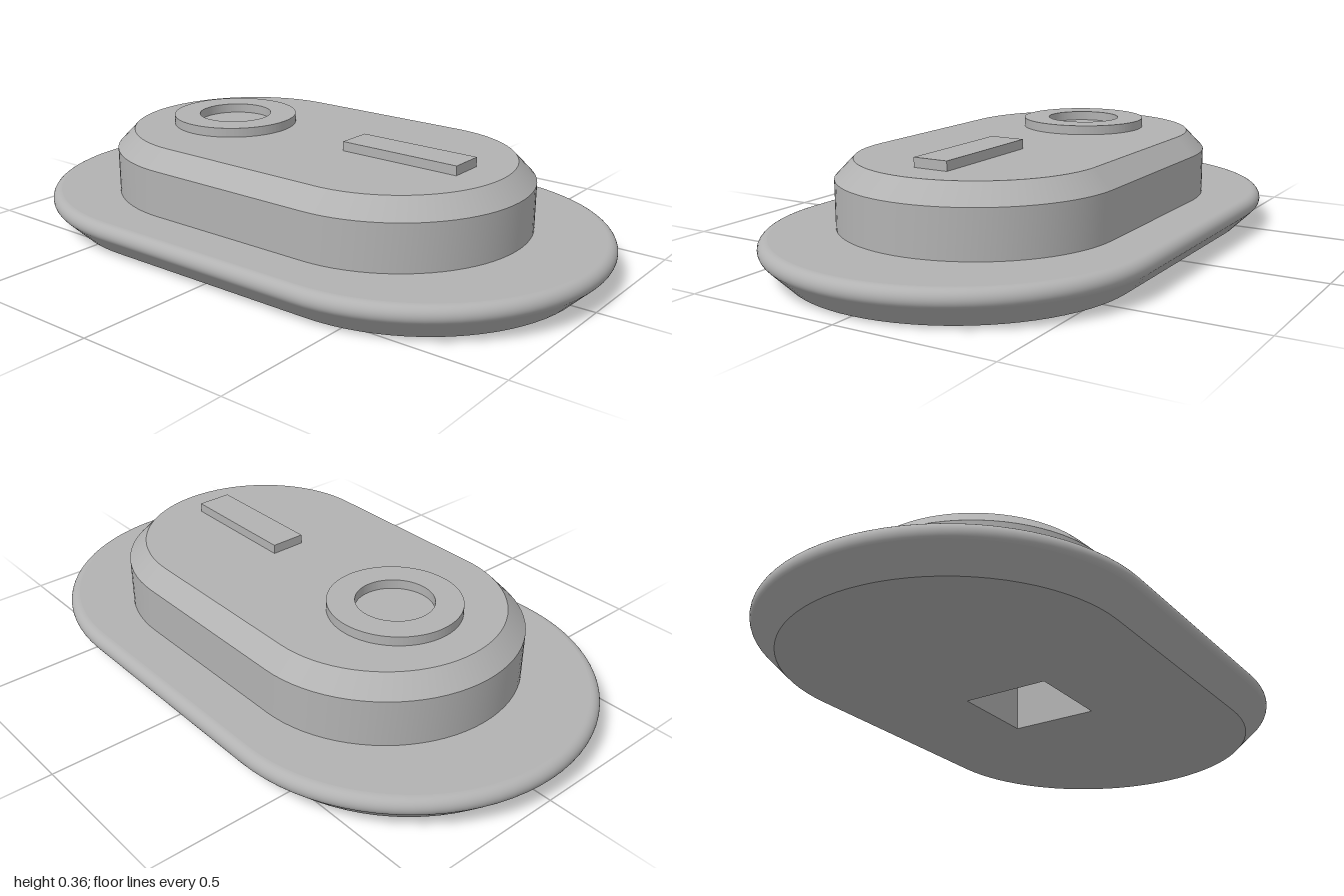
import * as THREE from 'three';

const grey = new THREE.MeshStandardMaterial({ color: 0xb2b2b2 });
grey.name = 'plain grey';

const ARC = 40; // segments per rounded end

// Outline of a stadium: straight half length h, end radius r (x, z pairs)
function stadium(h, r) {
  const pts = [];
  for (const side of [1, -1]) {
    for (let i = 0; i <= ARC; i++) {
      const a = -Math.PI / 2 + (Math.PI * i) / ARC;
      pts.push(new THREE.Vector2(side * (h + r * Math.cos(a)), side * r * Math.sin(a)));
    }
  }
  return pts;
}

// Smooth wall through a profile of [radius, y], from bottom to top
function wall(h, profile) {
  const pos = [], index = [], n = 2 * (ARC + 1);
  for (const [r, y] of profile) for (const p of stadium(h, r)) pos.push(p.x, y, p.y);
  for (let j = 0; j < profile.length - 1; j++) {
    for (let i = 0; i < n; i++) {
      const a = j * n + i, b = j * n + ((i + 1) % n), c = a + n, d = b + n;
      index.push(a, c, b, b, c, d);
    }
  }
  const g = new THREE.BufferGeometry();
  g.setAttribute('position', new THREE.Float32BufferAttribute(pos, 3));
  g.setIndex(index);
  g.computeVertexNormals();
  return g;
}

// Flat stadium face, facing up or down, with an optional square hole
function cap(h, r, y, up, hole = 0) {
  const shape = new THREE.Shape(stadium(h, r));
  if (hole) {
    const s = hole / 2;
    shape.holes.push(new THREE.Path([[-s, -s], [-s, s], [s, s], [s, -s]].map(p => new THREE.Vector2(...p))));
  }
  return new THREE.ShapeGeometry(shape).rotateX(up ? -Math.PI / 2 : Math.PI / 2).translate(0, y, 0);
}

export function createModel() {
  const model = new THREE.Group();
  const add = (parent, name, geometry) => {
    const mesh = new THREE.Mesh(geometry, grey);
    mesh.name = name;
    parent.add(mesh);
    return mesh;
  };
  const part = name => {
    const g = new THREE.Group();
    g.name = name;
    model.add(g);
    return g;
  };

  // Base flange: sloped underside running into a rounded lip
  const baseH = 0.387, baseR = 0.613, lip = 0.03, socket = 0.29, depth = 0.25;
  const flange = part('baseFlange');
  const round = [];
  for (let i = 0; i <= 12; i++) {
    const a = -Math.PI / 4 + (i / 12) * Math.PI * 0.75;
    round.push([baseR - lip + lip * Math.cos(a), 0.09 + lip * Math.sin(a)]);
  }
  add(flange, 'flangeSlope', wall(baseH, [[0.535, 0], round[0]]));
  add(flange, 'flangeLip', wall(baseH, round));
  add(flange, 'flangeTop', cap(baseH, baseR - lip, 0.12, true));
  add(flange, 'flangeBottom', cap(baseH, 0.535, 0, false, socket));

  // Square socket in the underside: inward-facing walls and ceiling
  const hole = part('undersideSocket');
  for (let i = 0; i < 4; i++) {
    const side = add(hole, 'socketWall', new THREE.PlaneGeometry(socket, depth).translate(0, depth / 2, -socket / 2));
    side.rotation.y = (i * Math.PI) / 2;
  }
  add(hole, 'socketCeiling', new THREE.PlaneGeometry(socket, socket).rotateX(Math.PI / 2).translate(0, depth, 0));

  // Raised body with a chamfered top edge
  const bodyH = 0.295, body = part('raisedBody');
  add(body, 'bodyWall', wall(bodyH, [[0.445, 0.12], [0.445, 0.27]]));
  add(body, 'bodyChamfer', wall(bodyH, [[0.445, 0.27], [0.387, 0.33]]));
  add(body, 'bodyTop', cap(bodyH, 0.387, 0.33, true));

  // Flat ring on the right
  const ringShape = new THREE.Shape().absarc(0, 0, 0.207, 0, Math.PI * 2);
  ringShape.holes.push(new THREE.Path().absarc(0, 0, 0.121, 0, Math.PI * 2, true));
  add(model, 'topRing', new THREE.ExtrudeGeometry(ringShape, { depth: 0.03, bevelEnabled: false, curveSegments: 48 })
    .rotateX(-Math.PI / 2).translate(-0.36, 0.33, 0));

  // Flat bar on the left
  add(model, 'topBar', new THREE.BoxGeometry(0.414, 0.03, 0.115).translate(0.355, 0.345, 0));

  return model;
}
